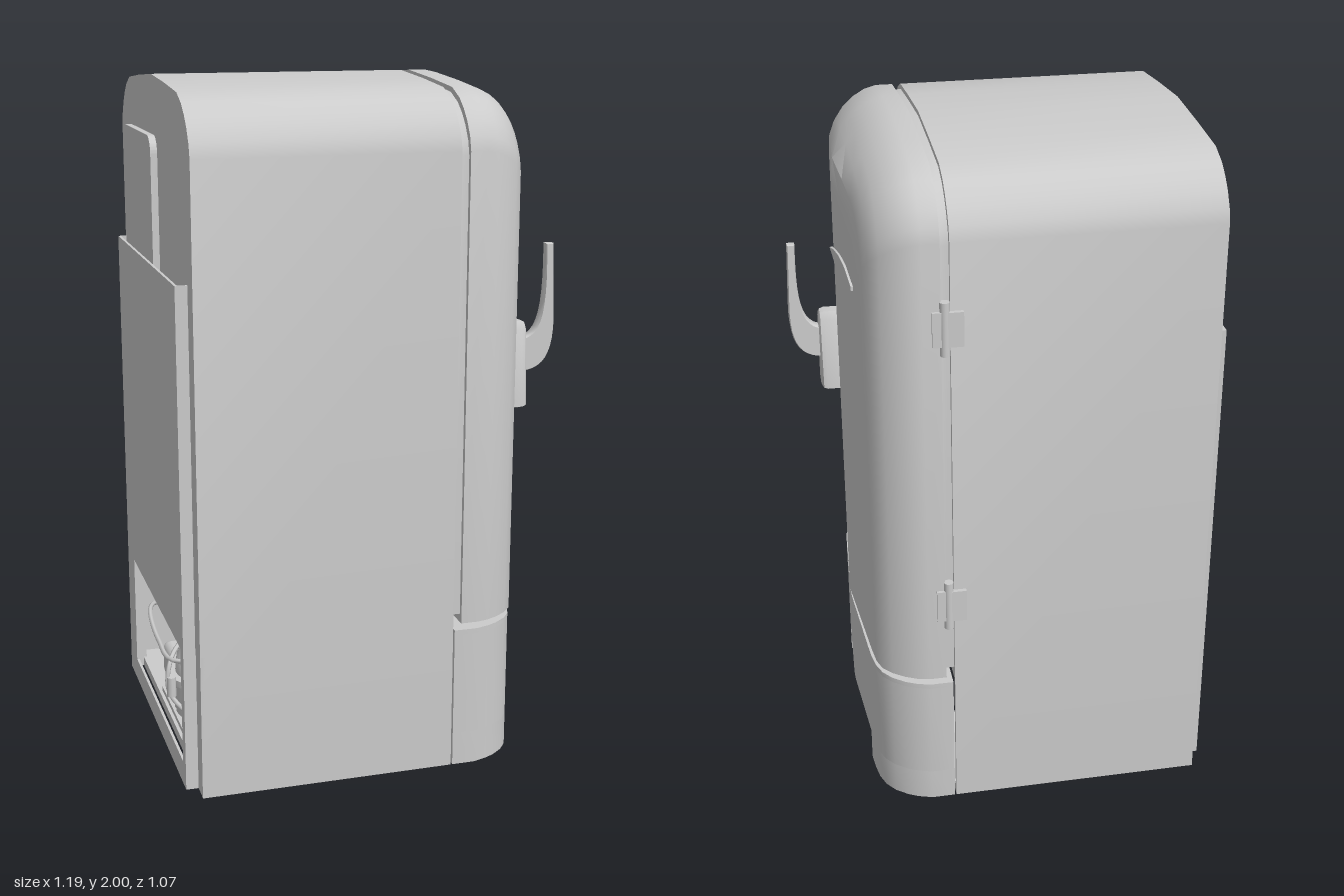
import * as THREE from 'three';
import { toCreasedNormals } from 'three/addons/utils/BufferGeometryUtils.js';
import { RoundedBoxGeometry } from 'three/addons/geometries/RoundedBoxGeometry.js';

const mat = new THREE.MeshStandardMaterial({ color: 0xcccccc, side: THREE.DoubleSide });
const W = 0.5275; // half width of the cabinet
const V = (x, y, z) => new THREE.Vector3(x, y, z);
const toShape = pts => new THREE.Shape(pts.map(p => new THREE.Vector2(p[0], p[1])));

function add(parent, name, geo, x = 0, y = 0, z = 0) {
  const m = new THREE.Mesh(geo, mat);
  m.name = name;
  m.position.set(x, y, z);
  parent.add(m);
  return m;
}
const box = (parent, name, x0, x1, y0, y1, z0, z1) =>
  add(parent, name, new THREE.BoxGeometry(x1 - x0, y1 - y0, z1 - z0), (x0 + x1) / 2, (y0 + y1) / 2, (z0 + z1) / 2);

// Extrude a (-z, y) shape along x
function alongX(shape, x0, x1, opts = {}) {
  const g = new THREE.ExtrudeGeometry(shape, { depth: x1 - x0, bevelEnabled: false, ...opts });
  return toCreasedNormals(g.rotateY(Math.PI / 2).translate(x0, 0, 0), 0.7);
}
// Extrude an (x, -z) shape upwards
function alongY(shape, y0, y1) {
  const g = new THREE.ExtrudeGeometry(shape, { depth: y1 - y0, bevelEnabled: false });
  return toCreasedNormals(g.rotateX(-Math.PI / 2).translate(0, y0, 0), 0.7);
}

// Arched outline from bottom left, over the peaked top, to bottom right
function arch(y0, inset = 0) {
  const half = [[W, y0], [W, 1.81], [0.517, 1.85], [0.4925, 1.89], [0.465, 1.92], [0.43, 1.947], [0.37, 1.972], [0.2, 1.987]];
  const pts = [...half.map(p => [-p[0], p[1]]), [0, 2], ...half.slice().reverse()];
  return pts.map(([z, y]) => [z * (W - inset) / W, y0 + (y - y0) * (2 - inset - y0) / (2 - y0)]);
}

// Door skin: arched rings that shrink towards a gently ridged front
function doorGeometry() {
  const y0 = 0.445;
  const rings = [[0, 0.24, 0], [0, 0.24], [0, 0.29], [0.008, 0.325], [0.025, 0.36], [0.05, 0.394],
    [0.08, 0.42], [0.12, 0.433], [0.18, 0.44], [0.18, 0.468, 0]];
  const grid = rings.map(([inset, x, s = 1]) => arch(y0, inset).map(([z, y]) => {
    const bow = inset >= 0.12 && s ? 0.028 * (1 - Math.abs(z) / (W - inset)) : 0;
    return [x + bow, y, z * s];
  }));
  const n = grid[0].length, pos = [];
  const quad = (a, b, c, d) => pos.push(...a, ...b, ...c, ...b, ...d, ...c);
  for (let j = 0; j < grid.length - 1; j++) {
    const A = grid[j], B = grid[j + 1];
    for (let i = 0; i < n - 1; i++) quad(A[i], A[i + 1], B[i], B[i + 1]);
    quad(A[0], B[0], A[n - 1], B[n - 1]);
  }
  const g = new THREE.BufferGeometry();
  g.setAttribute('position', new THREE.Float32BufferAttribute(pos, 3));
  return toCreasedNormals(g, 0.7);
}

function buildCabinet(root) {
  const w = W - 0.015;
  const outline = [...arch(0), [w, 0], [w, 0.43], [-w, 0.43], [-w, 0]];
  add(root, 'cabinet', alongX(toShape(outline), -0.535, 0.215));
  add(root, 'doorGasket', alongX(toShape(arch(0.47, 0.014)), 0.215, 0.24));

  // Underside: bulkhead, floor and front sill
  box(root, 'bulkhead', -0.25, -0.24, 0, 0.43, -w, w);
  box(root, 'compartmentFloor', -0.53, -0.25, 0.02, 0.03, -w, w);
  box(root, 'floorLipBack', -0.53, -0.47, 0, 0.02, -w, w);
  box(root, 'floorLipFront', -0.29, -0.25, 0, 0.02, -w, w);
  box(root, 'frontSill', 0.16, 0.215, 0, 0.03, -w, w);

  // Back sheet standing off the cabinet, with the compressor window
  const sheet = toShape([[-0.4625, 0], [0.4625, 0], [0.4625, 1.47], [-0.4625, 1.47]]);
  sheet.holes.push(toShape([[-0.4225, 0.07], [-0.4225, 0.42], [0.3475, 0.42], [0.3475, 0.07]]));
  add(root, 'backSheet', alongX(sheet, -0.57, -0.562));
  for (const s of [-1, 1]) {
    const a = s * 0.4625, b = s * 0.4545, c = s * W;
    box(root, 'backSheetFlange', -0.565, -0.53, 0, 1.47, Math.min(a, b), Math.max(a, b));
    box(root, 'backPost', -0.534, -0.52, 0, 0.43, Math.min(b, c), Math.max(b, c));
  }

  // Rounded access cover above the sheet
  const r = 0.05, c = new THREE.Shape();
  c.moveTo(-0.0675, 1.3);
  c.lineTo(0.3975, 1.3);
  c.lineTo(0.3975, 1.83 - r);
  c.absarc(0.3975 - r, 1.83 - r, r, 0, Math.PI / 2);
  c.absarc(-0.0675 + r, 1.83 - r, r, Math.PI / 2, Math.PI);
  add(root, 'backCover', alongX(c, -0.555, -0.534));
}

function buildPlinth(root) {
  const outer = [[0.22, W], [0.29, W], [0.33, 0.515], [0.36, 0.5], [0.395, 0.473], [0.42, 0.44], [0.435, 0.4], [0.443, 0.35], [0.447, 0.297]];
  const inner = [[0.22, 0.507], [0.285, 0.507], [0.345, 0.48], [0.4, 0.43], [0.42, 0.35], [0.427, 0.297]];
  // Join a half outline to its mirror image through a shallow front ridge
  const full = (pts, x) => [...pts, [x, 0.02], [x, -0.02], ...pts.slice().reverse().map(p => [p[0], -p[1]])];
  const outerFull = full(outer, 0.465), innerFull = full(inner, 0.445);
  add(root, 'plinth', alongY(toShape([...outerFull, ...innerFull.slice().reverse()]), 0.1, 0.41));
  add(root, 'plinthTop', alongY(toShape(outerFull), 0.41, 0.425));
  // Side feet either side of the toe cutout
  const foot = [...outer, ...inner.slice().reverse()];
  for (const s of [-1, 1]) add(root, 'plinthFoot', alongY(toShape(foot.map(p => [p[0], s * p[1]])), 0, 0.1));
}

function buildHandle(root) {
  const handle = new THREE.Group();
  handle.name = 'handle';
  handle.position.z = 0.302;
  root.add(handle);
  const base = toShape([[-0.038, 1.045], [0, 1.033], [0.038, 1.045], [0.022, 1.26], [0.012, 1.275], [-0.012, 1.275], [-0.022, 1.26]]);
  add(handle, 'handleBase', alongX(base, 0.43, 0.485,
    { bevelEnabled: true, bevelSize: 0.013, bevelThickness: 0.018, bevelSegments: 2 }));
  // Curved lever, swept in the x-y plane
  const s = new THREE.Shape();
  s.moveTo(0.47, 1.14);
  s.lineTo(0.51, 1.14);
  s.bezierCurveTo(0.57, 1.15, 0.595, 1.2, 0.59, 1.32);
  s.lineTo(0.584, 1.51);
  s.lineTo(0.566, 1.51);
  s.bezierCurveTo(0.572, 1.32, 0.555, 1.25, 0.505, 1.235);
  s.lineTo(0.47, 1.235);
  const g = new THREE.ExtrudeGeometry(s, { depth: 0.02, bevelSize: 0.003, bevelThickness: 0.004, bevelSegments: 1, curveSegments: 10 });
  g.translate(0, 0, -0.01);
  // Taper the lever towards its tip
  const p = g.attributes.position;
  for (let i = 0; i < p.count; i++) p.setZ(i, p.getZ(i) * (1.6 - 1.9 * (p.getY(i) - 1.14)));
  add(handle, 'handleLever', toCreasedNormals(g, 0.7));
}

function buildCompressor(root) {
  const unit = new THREE.Group();
  unit.name = 'compressor';
  unit.position.set(-0.41, 0.03, 0.13);
  root.add(unit);
  const profile = [[0, 0.04], [0.1, 0.04], [0.12, 0.06], [0.12, 0.17], [0.145, 0.17], [0.145, 0.19], [0.12, 0.19], [0.115, 0.24], [0.08, 0.285], [0, 0.3]];
  const lathe = new THREE.LatheGeometry(profile.map(q => new THREE.Vector2(q[0], q[1])), 28);
  add(unit, 'compressorShell', toCreasedNormals(lathe, 0.7));
  box(unit, 'basePlate', -0.11, 0.12, 0, 0.015, -0.3, 0.24);
  for (const x of [-0.08, 0.08]) for (const z of [-0.13, 0.13])
    add(unit, 'mountFoot', new THREE.CylinderGeometry(0.018, 0.022, 0.06, 12), x, 0.035, z);
  add(unit, 'relayBox', new RoundedBoxGeometry(0.13, 0.11, 0.13, 2, 0.025), -0.05, 0.14, -0.19);
  const tube = (name, pts) => add(unit, name,
    new THREE.TubeGeometry(new THREE.CatmullRomCurve3(pts.map(q => V(...q))), 32, 0.007, 6));
  tube('dischargePipe', [[0, 0.28, 0], [-0.1, 0.32, 0.06], [-0.165, 0.29, 0.15], [-0.17, 0.2, 0.165], [-0.1, 0.13, 0.2], [0.05, 0.1, 0.2]]);
  tube('suctionPipe', [[0, 0.22, -0.1], [-0.1, 0.29, -0.32], [-0.155, 0.32, -0.22], [-0.17, 0.3, 0], [-0.15, 0.3, 0.17], [0.05, 0.32, 0.2]]);
  add(unit, 'serviceValve', new THREE.CylinderGeometry(0.014, 0.014, 0.06, 10), -0.165, 0.22, 0.165);
}

export function createModel() {
  const model = new THREE.Group();
  model.name = 'refrigerator';
  const root = new THREE.Group();
  root.name = 'refrigeratorParts';
  root.position.z = 0.0075;
  model.add(root);

  buildCabinet(root);
  add(root, 'door', doorGeometry());
  buildPlinth(root);
  buildHandle(root);
  buildCompressor(root);

  // Hinges on the right side
  for (const y of [0.7, 1.57]) {
    box(root, 'hingePlate', 0.18, 0.225, y - 0.05, y + 0.05, -0.54, -0.52);
    box(root, 'hingeDoorLeaf', 0.235, 0.265, y - 0.05, y + 0.05, -0.537, -0.515);
    add(root, 'hingeKnuckle', new THREE.CylinderGeometry(0.014, 0.014, 0.155, 12), 0.23, y, -0.528);
  }

  // Plain lens-shaped trim on the upper door
  const lens = toShape([[-0.165, 0], [-0.08, -0.022], [0, -0.033], [0.06, -0.03], [0.16, -0.005], [0.16, 0.008], [0.06, 0.03], [-0.02, 0.03], [-0.1, 0.018]]);
  const trim = add(root, 'doorTrim', alongX(lens, -0.004, 0.006), 0.458, 1.6, -0.13);
  trim.rotation.y = 0.081;
  return model;
}
